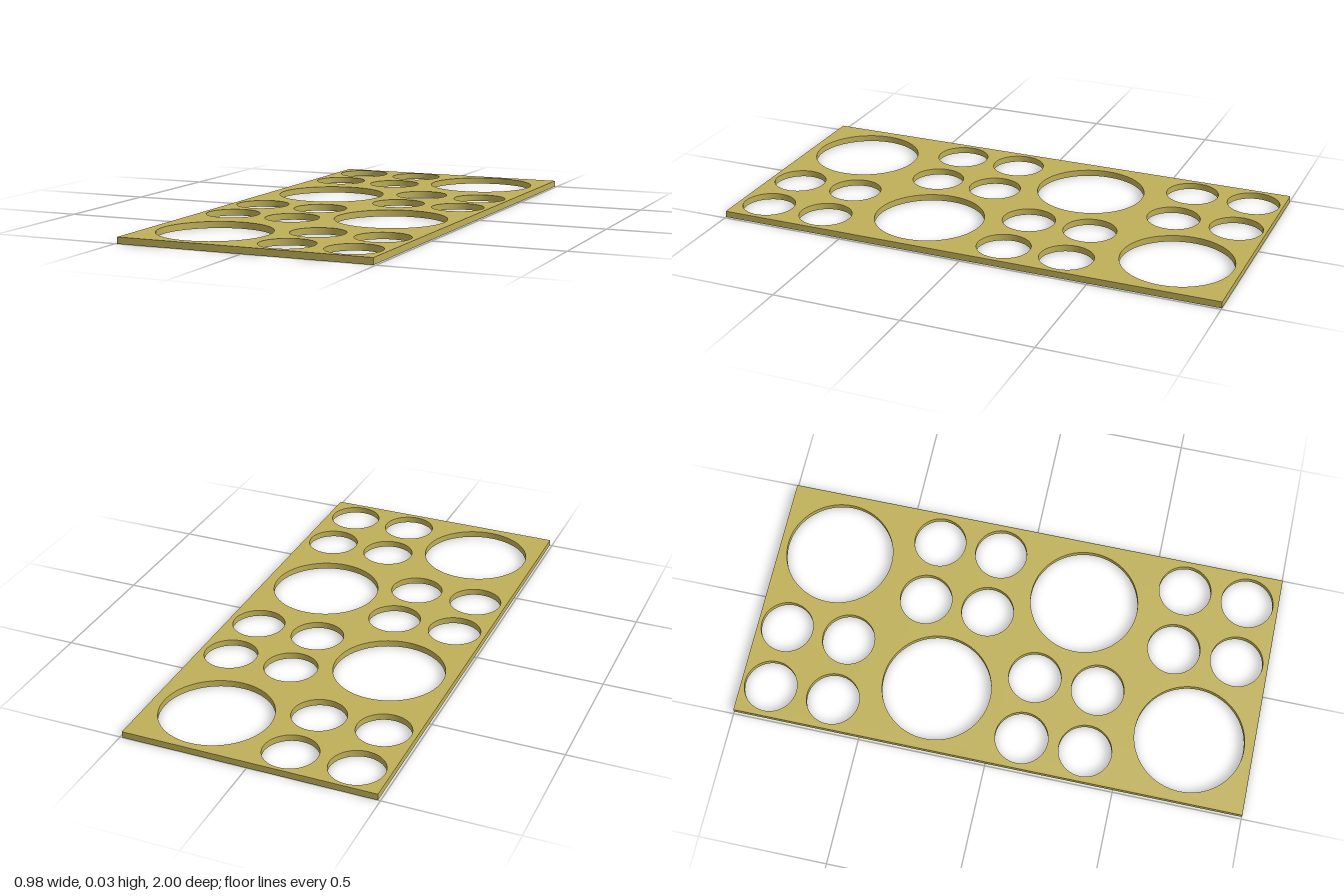
import * as THREE from 'three';

const HALF_WIDTH = 0.491, HALF_LENGTH = 1, THICKNESS = 0.025;
const BIG_RADIUS = 0.213, SMALL_RADIUS = 0.103;

export function createModel() {
  const group = new THREE.Group();
  group.name = 'perforatedPanel';

  // Rectangular outline, drawn flat with shape y = -z
  const outline = new THREE.Shape();
  outline.moveTo(-HALF_WIDTH, -HALF_LENGTH);
  outline.lineTo(HALF_WIDTH, -HALF_LENGTH);
  outline.lineTo(HALF_WIDTH, HALF_LENGTH);
  outline.lineTo(-HALF_WIDTH, HALF_LENGTH);
  outline.closePath();

  const addHole = (x, z, radius) => {
    const hole = new THREE.Path();
    hole.absarc(x, -z, radius, 0, Math.PI * 2, true);
    outline.holes.push(hole);
  };

  // Checkerboard: each row pairs one big hole with a 2 x 2 cluster of small ones
  for (let row = 0; row < 4; row++) {
    const side = row % 2 === 0 ? 1 : -1; // side of the big hole
    const z = -0.757 + row * 0.5 + (side < 0 ? 0.008 : 0);
    addHole(side * 0.236, z, BIG_RADIUS);

    const clusterZ = -0.758 + row * 0.5 + (side < 0 ? 0.01 : 0);
    for (const dx of [-0.126, 0.126]) {
      for (const dz of [-0.125, 0.125]) {
        addHole(-side * 0.241 + dx, clusterZ + dz, SMALL_RADIUS);
      }
    }
  }

  // Thin sheet lying on the ground
  const geometry = new THREE.ExtrudeGeometry(outline, {
    depth: THICKNESS, bevelEnabled: false, curveSegments: 40,
  });
  geometry.rotateX(-Math.PI / 2);

  const panel = new THREE.Mesh(geometry, new THREE.MeshStandardMaterial({ color: 0xbfb058 }));
  panel.name = 'panel';
  group.add(panel);
  return group;
}
